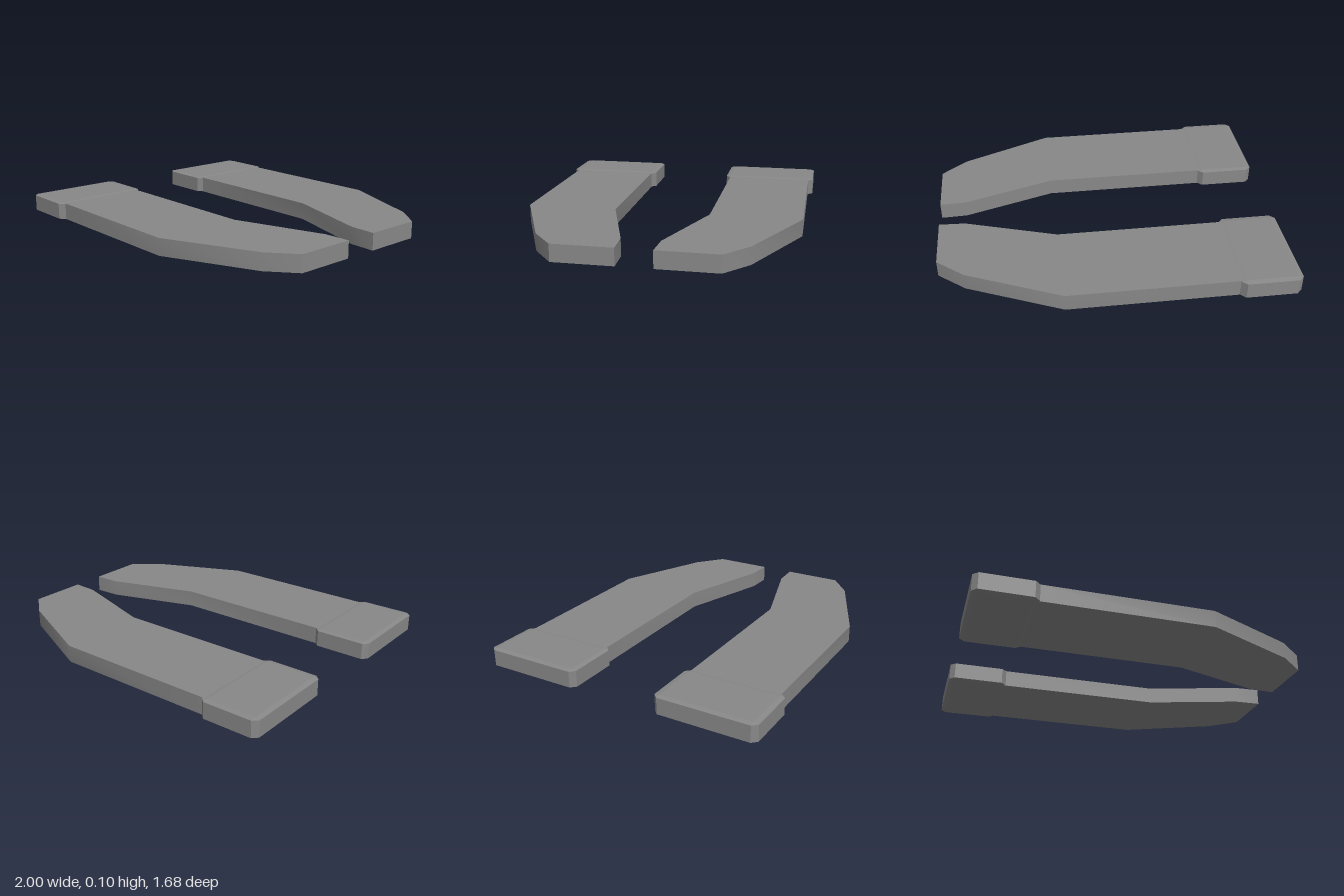
import * as THREE from 'three';
import { ConvexGeometry } from 'three/addons/geometries/ConvexGeometry.js';
import { toCreasedNormals } from 'three/addons/utils/BufferGeometryUtils.js';

const material = new THREE.MeshStandardMaterial({ color: 0x888888 });

// Outline of one blade as [x, z], inner edge first
const OUTLINE = [
  [-0.68, 0.28], [0.31, 0.28], [0.845, 0.107], [1, 0.1],
  [1, 0.445], [0.845, 0.573], [0.31, 0.81], [-0.68, 0.81],
];

// Flat plate cut to the outline, with softly shaded bends; side is +1 (front) or -1 (back)
function bladeGeometry(side) {
  const shape = new THREE.Shape(OUTLINE.map(([x, z]) => new THREE.Vector2(x, z * side)));
  const geometry = new THREE.ExtrudeGeometry(shape, { depth: 0.099, bevelEnabled: false });
  geometry.rotateX(Math.PI / 2);
  geometry.translate(0, 0.102, 0);
  return toCreasedNormals(geometry, Math.PI / 6);
}

// Box with every edge chamfered: each face is pulled in by the other two bevels
function chamferedBox(half, bevel) {
  const points = [];
  for (const sx of [-1, 1]) for (const sy of [-1, 1]) for (const sz of [-1, 1]) {
    const outer = [half.x, half.y, half.z];
    const inner = [half.x - bevel.x, half.y - bevel.y, half.z - bevel.z];
    for (let axis = 0; axis < 3; axis++) {
      const p = inner.slice();
      p[axis] = outer[axis];
      points.push(new THREE.Vector3(p[0] * sx, p[1] * sy, p[2] * sz));
    }
  }
  return new ConvexGeometry(points);
}

export function createModel() {
  const model = new THREE.Group();
  model.name = 'bladePair';

  const buttGeometry = chamferedBox(
    new THREE.Vector3(0.174, 0.0525, 0.295),
    new THREE.Vector3(0.029, 0.005, 0.029),
  );

  for (const side of [1, -1]) {
    const half = new THREE.Group();
    half.name = side > 0 ? 'frontHalf' : 'backHalf';

    // Long angled blade
    const blade = new THREE.Mesh(bladeGeometry(side), material);
    blade.name = 'blade';

    // Slightly wider chamfered block at the end
    const butt = new THREE.Mesh(buttGeometry, material);
    butt.name = 'endBlock';
    butt.position.set(-0.826, 0.0525, 0.546 * side);

    half.add(blade, butt);
    model.add(half);
  }
  return model;
}
